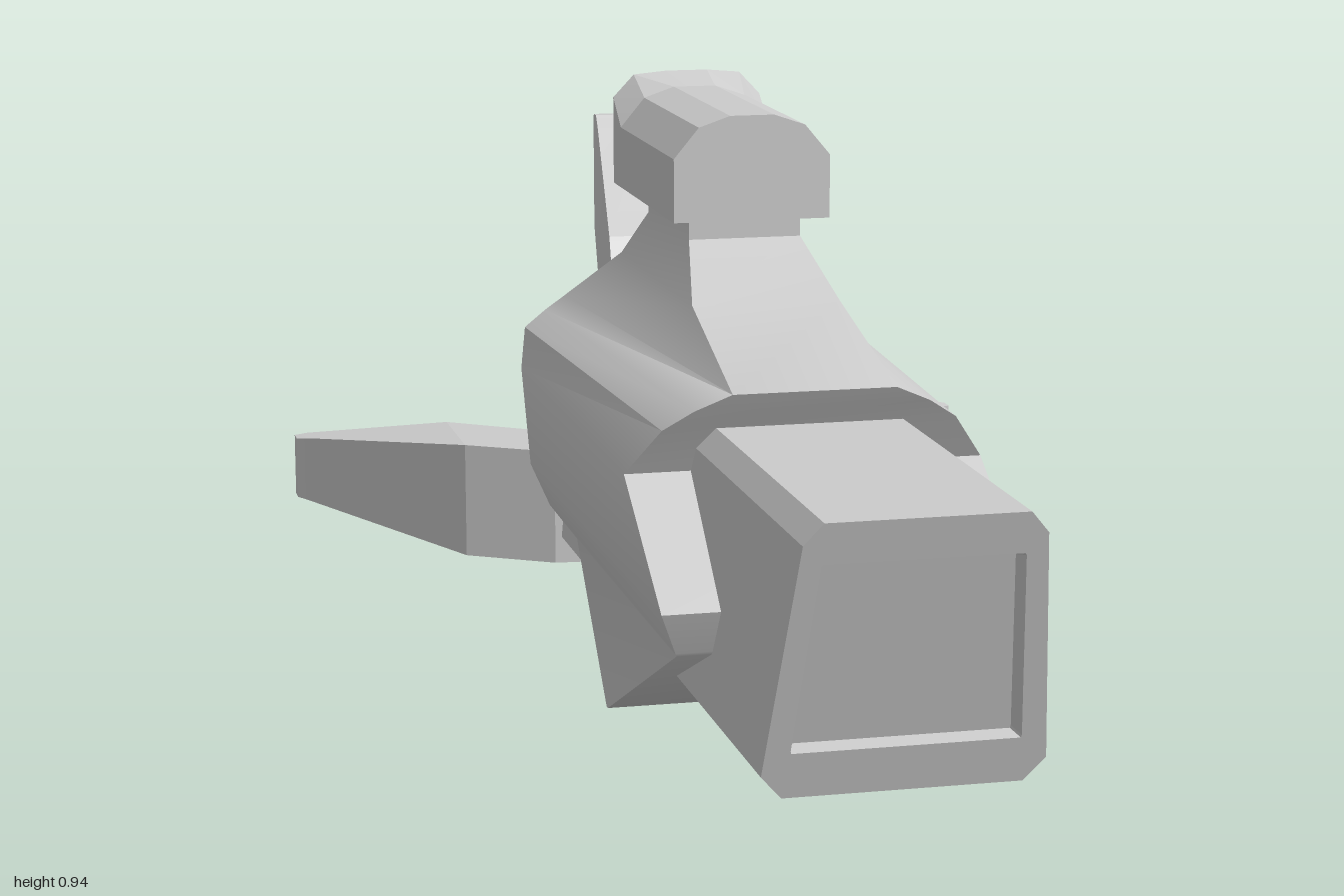
import * as THREE from 'three';
import { toCreasedNormals } from 'three/addons/utils/BufferGeometryUtils.js';

const material = new THREE.MeshStandardMaterial({ color: 0xcccccc });

// Skin a row of equal-length rings of [x, y, z] points and cap both ends.
function loft(name, rings, crease = 0.1) {
  const n = rings[0].length;
  const points = rings.flat();
  const faces = [];
  for (let r = 0; r < rings.length - 1; r++) {
    for (let i = 0; i < n; i++) {
      const a = r * n + i, b = r * n + (i + 1) % n;
      faces.push([a, b, b + n], [a, b + n, a + n]);
    }
  }
  const last = (rings.length - 1) * n;
  for (let i = 1; i < n - 1; i++) {
    faces.push([0, i + 1, i], [last, last + i, last + i + 1]);
  }
  // Turn the faces outward if the enclosed volume comes out negative
  const v = points.map((p) => new THREE.Vector3(...p));
  const volume = faces.reduce((s, [a, b, c]) => s + v[a].dot(v[b].clone().cross(v[c])), 0);
  if (volume < 0) faces.forEach((f) => f.reverse());

  const geometry = new THREE.BufferGeometry();
  geometry.setAttribute('position', new THREE.Float32BufferAttribute(points.flat(), 3));
  geometry.setIndex(faces.flat());
  const mesh = new THREE.Mesh(toCreasedNormals(geometry, crease), material);
  mesh.name = name;
  return mesh;
}

// Closed symmetric outline from [half width, y] pairs listed bottom to top
const outline = (pairs) => [...pairs, ...pairs.map(([x, y]) => [-x, y]).reverse()];

// Horizontal four-cornered layer, with its own width at front and back
const layer = ([y, front, back, wf, wb = wf]) =>
  [[wf, y, front], [wf, y, back].with(0, wb), [-wb, y, back], [-wf, y, front]];

export function createModel() {
  const model = new THREE.Group();
  const core = new THREE.Group();
  core.name = 'core';
  core.position.x = -0.006;
  model.add(core);

  // Long hull with chamfered edges, raked ends and a recessed nose panel
  const hull = outline([[0.172, 0.10], [0.203, 0.135], [0.17, 0.478], [0.143, 0.51]]);
  const nose = outline([[0.163, 0.168], [0.164, 0.172], [0.142, 0.446], [0.14, 0.449]]);
  const noseZ = (y) => 1 - (0.51 - y) * 0.28;
  const tailZ = (y) => -0.74 + (0.51 - y) * 0.23;
  core.add(loft('hull', [
    hull.map(([x, y]) => [x, y, tailZ(y)]),
    hull.map(([x, y]) => [x, y, noseZ(y)]),
    nose.map(([x, y]) => [x, y, noseZ(y)]),
    nose.map(([x, y]) => [x * 0.96, 0.31 + (y - 0.31) * 0.96, noseZ(y) - 0.03]),
  ]));

  // Armour shell with keel, forward cheeks, hood and pylon: y, front z, back z, half widths
  core.add(loft('armourShell', [
    [0, 0.065, 0.055, 0.245],
    [0.22, 0.57, -0.165, 0.247],
    [0.225, 0.573, -0.39, 0.249],
    [0.29, 0.6, -0.423, 0.275],
    [0.44, 0.345, -0.5, 0.275],
    [0.51, 0.38, -0.5, 0.225, 0.268],
    [0.54, 0.397, -0.49, 0.18, 0.235],
    [0.565, 0.41, -0.477, 0.125, 0.205],
    [0.645, 0.11, -0.42, 0.117],
    [0.725, -0.03, -0.33, 0.09],
    [0.765, -0.03, -0.33, 0.09],
  ].map(layer), 0.7));

  // Turret on the pylon, its roof kicking up at the back
  const frontCut = outline([[0.125, 0.76], [0.125, 0.86], [0.085, 0.908], [0.035, 0.925]]);
  const rearCut = outline([[0.125, 0.76], [0.125, 0.903], [0.09, 0.94], [0.035, 0.945]]);
  const at = (cut, z) => cut.map(([x, y]) => [x, y, z]);
  core.add(loft('turret', [at(frontCut, 0.02), at(frontCut, -0.38), at(rearCut, -0.44)]));

  // Swept upright tail fin
  const tailFin = loft('tailFin', [
    [0.48, -0.65, -0.72, 0.073],
    [0.507, -0.67, -0.795, 0.073],
    [0.62, -0.74, -0.873, 0.066],
    [0.785, -0.955, -0.993, 0.042],
    [0.805, -0.98, -1.0, 0.04],
  ].map(layer));
  tailFin.position.x = -0.006;
  core.add(tailFin);

  // Swept side fins: x, front z, back z, half height
  for (const [name, side] of [['leftFin', 1], ['rightFin', -1]]) {
    model.add(loft(name, [
      [0.15, -0.525, -0.66, 0.098],
      [0.22, -0.53, -0.715, 0.098],
      [0.36, -0.62, -0.82, 0.098],
      [0.59, -0.925, -0.975, 0.058],
      [0.612, -0.95, -0.98, 0.054],
    ].map(([x, front, back, h]) => [
      [side * x, 0.187 - h, front], [side * x, 0.187 + h, front],
      [side * x, 0.187 + h, back], [side * x, 0.187 - h, back],
    ])));
  }
  return model;
}
